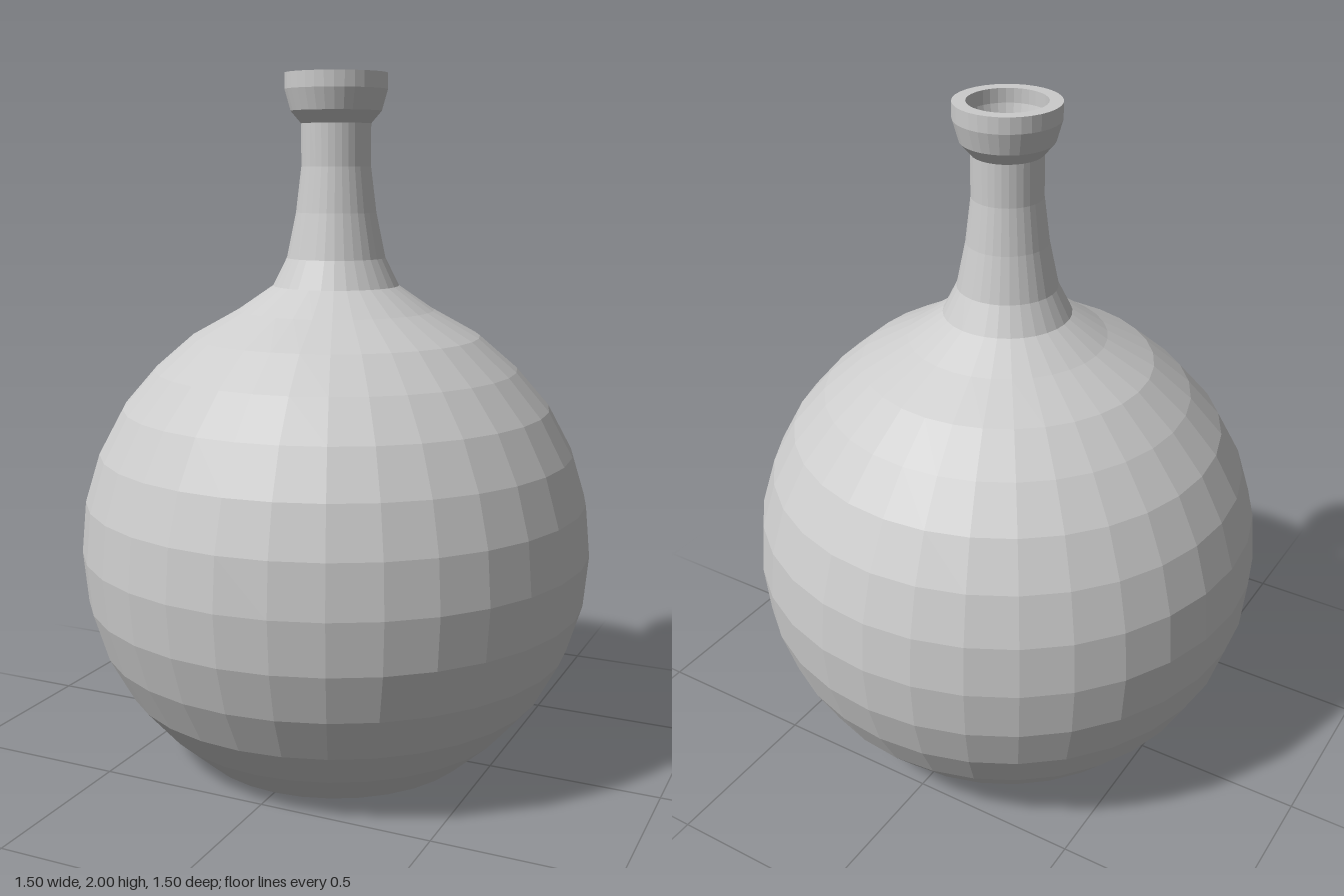
import * as THREE from 'three';

const SIDES = 32;
const material = new THREE.MeshStandardMaterial({ color: 0xcccccc, flatShading: true });

// Revolve a list of [radius, height] points into a faceted part.
function turned(name, profile) {
  const points = profile.map(([r, y]) => new THREE.Vector2(r, y));
  const mesh = new THREE.Mesh(new THREE.LatheGeometry(points, SIDES), material);
  mesh.name = name;
  return mesh;
}

export function createModel() {
  const model = new THREE.Group();
  model.name = 'roundFlask';

  // Flat base and round belly, up to the shoulder
  const belly = [
    [0.42, 0], [0.53, 0.1], [0.625, 0.21], [0.695, 0.34], [0.738, 0.48],
    [0.752, 0.63], [0.738, 0.78], [0.695, 0.92], [0.625, 1.05], [0.53, 1.16],
    [0.42, 1.255], [0.285, 1.33], [0.183, 1.4],
  ];
  model.add(turned('belly', [[0, 0], ...belly]));

  // Flared neck
  const neck = [[0.183, 1.4], [0.143, 1.48], [0.116, 1.61], [0.1, 1.74], [0.1, 1.86]];
  model.add(turned('neck', neck));

  // Collar with a flat rim and a mouth narrowing into the neck
  model.add(turned('collar', [
    [0.1, 1.86], [0.13, 1.895], [0.147, 1.955], [0.147, 2],
    [0.11, 2], [0.11, 1.96], [0.098, 1.91], [0.075, 1.875],
  ]));

  // Hollow inside, running from the mouth down to the floor
  const inside = belly.slice(1, -1).reverse().map(([r, y]) => [r * 0.95, 0.63 + (y - 0.63) * 0.95]);
  model.add(turned('innerWall', [
    [0.075, 1.875], [0.075, 1.74], [0.09, 1.61], [0.115, 1.48], [0.15, 1.39],
    ...inside, [0.4, 0.04], [0, 0.04],
  ]));

  return model;
}
